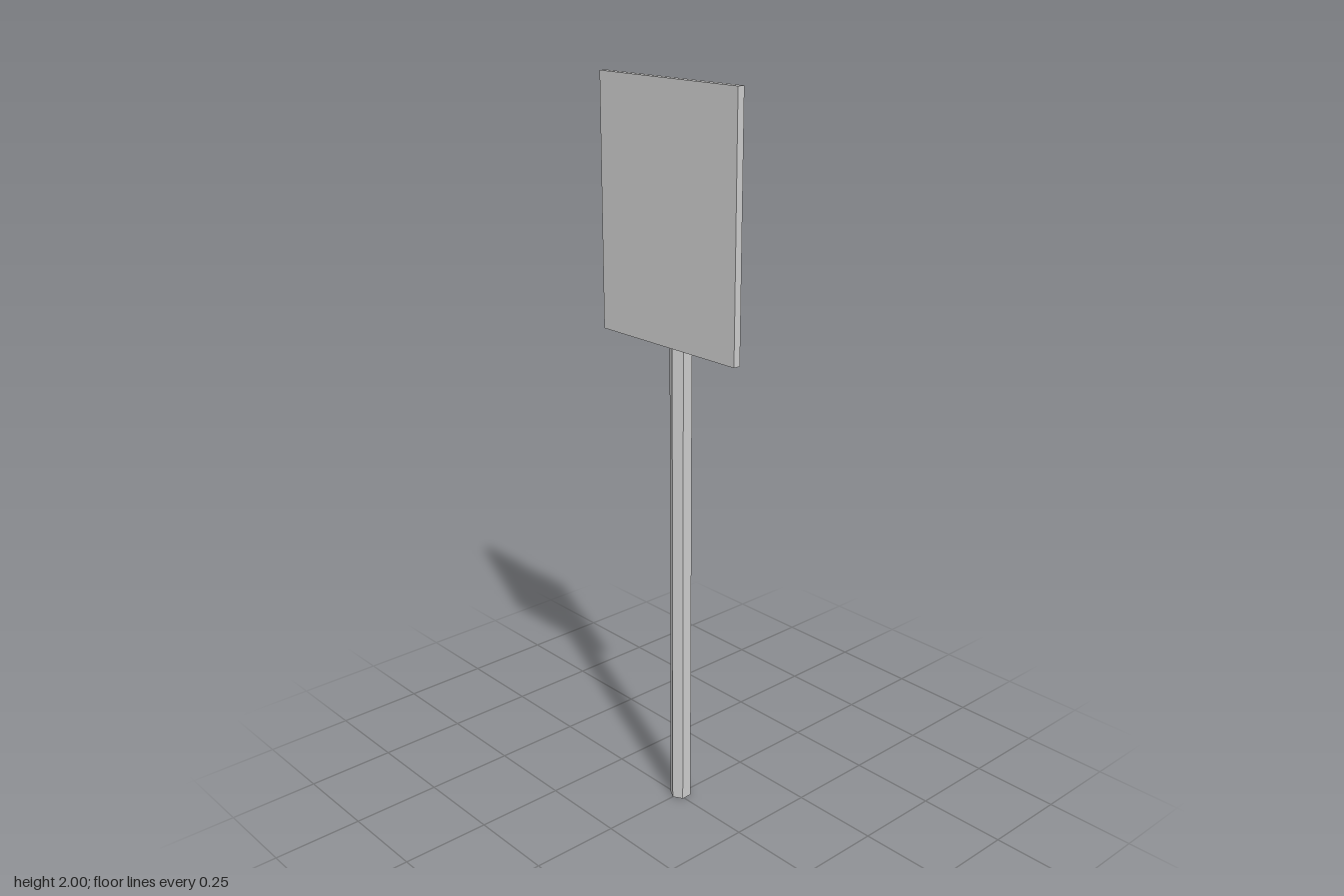
import * as THREE from 'three';

export function createModel() {
  const group = new THREE.Group();
  const material = new THREE.MeshStandardMaterial({ color: 0xcccccc, flatShading: true });

  const add = (name, geometry, x, y, z) => {
    const mesh = new THREE.Mesh(geometry, material);
    mesh.name = name;
    mesh.position.set(x, y, z);
    group.add(mesh);
  };

  // Hexagonal post with one edge towards the panel
  const postHeight = 1.82;
  add('post', new THREE.CylinderGeometry(0.03, 0.03, postHeight, 6), 0, postHeight / 2, -0.01);

  // Flat sign panel
  add('signPanel', new THREE.BoxGeometry(0.49, 0.66, 0.02), 0, 1.67, 0.03);

  // Two clamps joining the panel to the post
  const clamp = new THREE.BoxGeometry(0.102, 0.058, 0.028);
  add('upperClamp', clamp, 0, 1.751, 0.006);
  add('lowerClamp', clamp, 0, 1.481, 0.006);

  return group;
}
